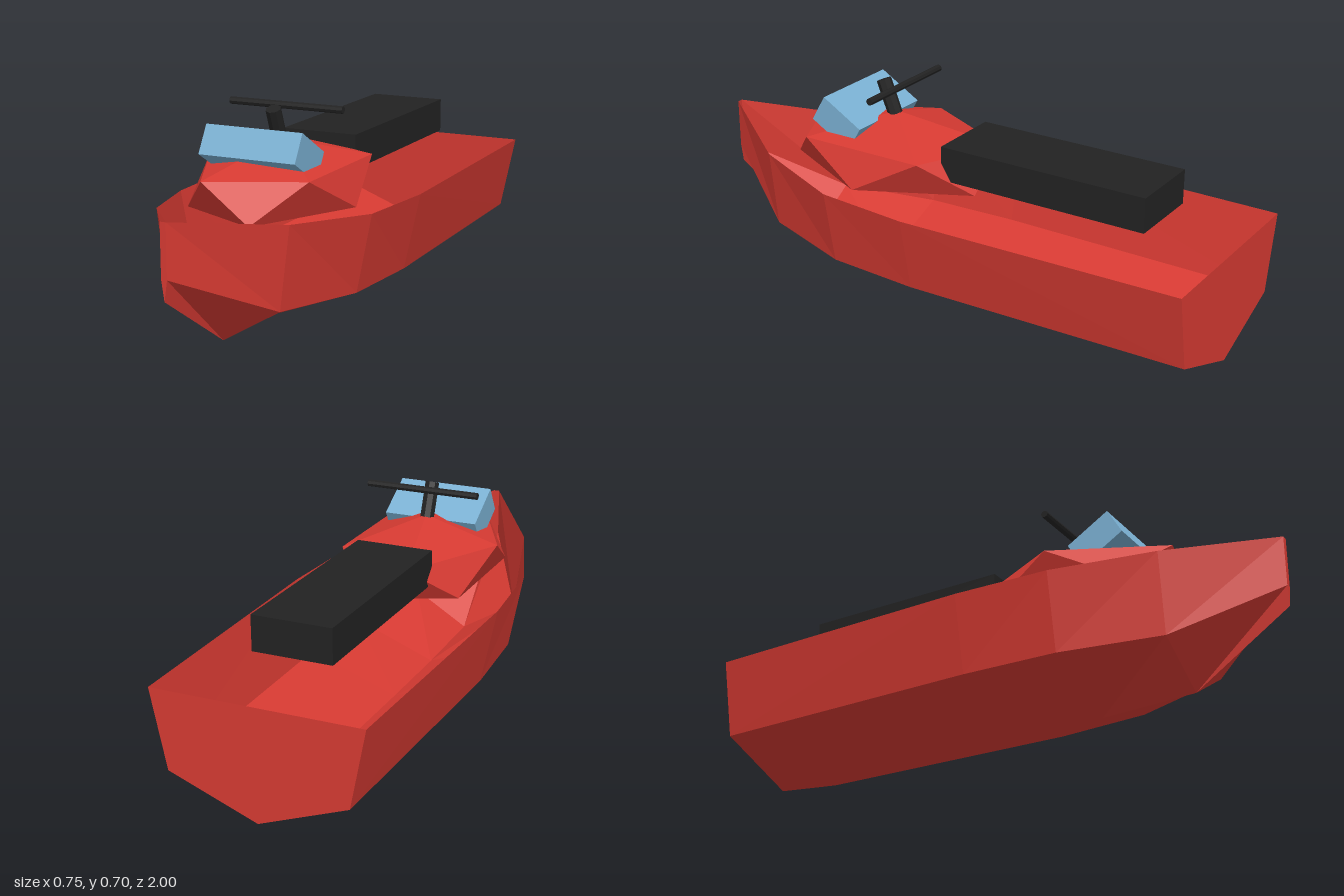
import * as THREE from 'three';
import { ConvexGeometry } from 'three/addons/geometries/ConvexGeometry.js';

const red = new THREE.MeshStandardMaterial({ color: 0xd63a32, flatShading: true, side: THREE.DoubleSide });
red.name = 'red';
const black = new THREE.MeshStandardMaterial({ color: 0x222222, flatShading: true });
black.name = 'black';
const blue = new THREE.MeshStandardMaterial({ color: 0x7ab0d2, flatShading: true });
blue.name = 'glass blue';

// Open V hull: z, gunwale half width and height, chine half width and height, keel height
function hullGeometry() {
  const stations = [
    [-1, 0.357, 0.38, 0.303, 0.115, 0],
    [0, 0.377, 0.38, 0.32, 0.115, 0],
    [0.333, 0.352, 0.386, 0.3, 0.119, 0.003],
    [0.667, 0.234, 0.415, 0.2, 0.137, 0.016],
    [1, 0.01, 0.475, 0.01, 0.302, 0.235],
  ];
  const rings = stations.map(([z, gw, gy, cw, cy, ky]) => [
    [gw, gy, z], [cw, cy, z], [0, ky, z], [-cw, cy, z], [-gw, gy, z],
  ]);
  const pos = [];
  const tri = (a, b, c) => pos.push(...a, ...b, ...c);
  for (let s = 0; s < rings.length - 1; s++) {
    const a = rings[s], b = rings[s + 1];
    for (let i = 0; i < 4; i++) {
      // mirrored diagonals on the two sides
      if (i < 2) {
        tri(a[i], b[i], a[i + 1]);
        tri(b[i], b[i + 1], a[i + 1]);
      } else {
        tri(a[i], b[i], b[i + 1]);
        tri(a[i], b[i + 1], a[i + 1]);
      }
    }
  }
  // transom and bow caps
  const stern = rings[0], bow = rings[rings.length - 1];
  for (let i = 1; i < 4; i++) {
    tri(stern[0], stern[i], stern[i + 1]);
    tri(bow[0], bow[i + 1], bow[i]);
  }
  const geo = new THREE.BufferGeometry();
  geo.setAttribute('position', new THREE.Float32BufferAttribute(pos, 3));
  geo.computeVertexNormals();
  return geo;
}

// Faceted cowl: two poles and two offset rings of five
function cowlGeometry() {
  const pts = [new THREE.Vector3(0, 0.14, 0), new THREE.Vector3(0, -0.14, 0)];
  for (let i = 0; i < 5; i++) {
    const a = (i / 5) * Math.PI * 2;
    const x = 0.27 * Math.cos(a), z = 0.394 * Math.sin(a);
    pts.push(new THREE.Vector3(-x, 0.0625, z), new THREE.Vector3(x, -0.0625, z));
  }
  return new ConvexGeometry(pts);
}

export function createModel() {
  const model = new THREE.Group();
  model.name = 'watercraft';
  const add = (name, geo, mat, x, y, z) => {
    const mesh = new THREE.Mesh(geo, mat);
    mesh.name = name;
    mesh.position.set(x, y, z);
    model.add(mesh);
    return mesh;
  };

  add('hull', hullGeometry(), red, 0, 0, 0);
  add('cowl', cowlGeometry(), red, 0, 0.448, 0.275);
  add('seat', new THREE.BoxGeometry(0.274, 0.12, 0.76), black, 0, 0.5, -0.38);

  // tilted windshield block
  add('windshield', new THREE.BoxGeometry(0.344, 0.104, 0.174), blue, 0, 0.563, 0.411).rotation.x = -0.53;

  // steering
  add('steeringStem', new THREE.CylinderGeometry(0.026, 0.026, 0.16, 8), black, 0, 0.618, 0.3).rotation.x = 0.38;
  add('handlebar', new THREE.CylinderGeometry(0.0125, 0.0125, 0.412, 8), black, 0, 0.69, 0.24).rotation.z = Math.PI / 2;

  return model;
}
